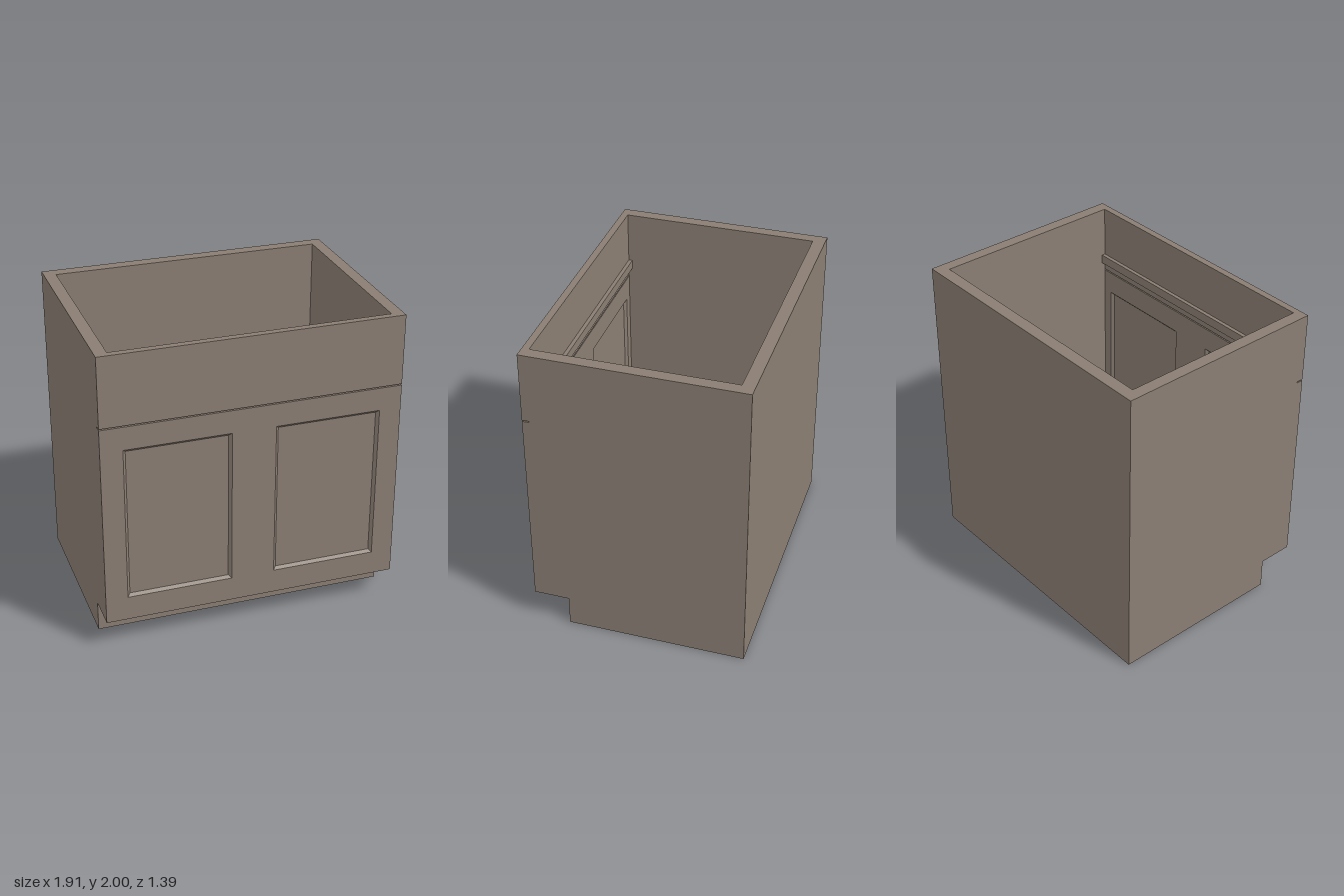
import * as THREE from 'three';

const W = 0.955, D = 0.695, H = 2;      // half width, half depth, height
const T = 0.077, FRONT = 0.65;          // wall thickness, back plane of the front
const KICK_Y = 0.2, KICK_Z = 0.465, FLOOR_Y = 0.28, GAP_Y = 1.54;

const material = new THREE.MeshStandardMaterial({ color: 0x8a7e73, flatShading: true });
const doubleSided = material.clone();
doubleSided.side = THREE.DoubleSide;

function add(parent, name, geometry, mat = material) {
  const mesh = new THREE.Mesh(geometry, mat);
  mesh.name = name;
  parent.add(mesh);
  return mesh;
}

// Box given by its minimum and maximum corners
function box(parent, name, [x0, y0, z0], [x1, y1, z1]) {
  const geometry = new THREE.BoxGeometry(x1 - x0, y1 - y0, z1 - z0);
  geometry.translate((x0 + x1) / 2, (y0 + y1) / 2, (z0 + z1) / 2);
  return add(parent, name, geometry);
}

function rectangle(PathType, x0, y0, x1, y1) {
  return new PathType([[x0, y0], [x1, y0], [x1, y1], [x0, y1]].map(p => new THREE.Vector2(...p)));
}

// Four sloping faces joining two rectangles of half sizes (w, h)
function bevelRing(a, b) {
  const corner = (r, i) => [
    r.w * [-1, 1, 1, -1][i % 4], r.h * [-1, -1, 1, 1][i % 4], r.z];
  const points = [];
  for (let i = 0; i < 4; i++) {
    const p = corner(a, i), q = corner(a, i + 1), s = corner(b, i + 1), t = corner(b, i);
    points.push(...p, ...q, ...s, ...p, ...s, ...t);
  }
  const geometry = new THREE.BufferGeometry();
  geometry.setAttribute('position', new THREE.Float32BufferAttribute(points, 3));
  geometry.computeVertexNormals();
  return geometry;
}

export function createModel() {
  const cabinet = new THREE.Group();
  cabinet.name = 'cabinet';

  // Side walls, notched at the toe kick
  const profile = new THREE.Shape([
    [-D, 0], [KICK_Z, 0], [KICK_Z, KICK_Y], [FRONT, KICK_Y], [FRONT, H], [-D, H],
  ].map(p => new THREE.Vector2(...p)));
  for (const [name, outer] of [['leftWall', W], ['rightWall', -W + T]]) {
    const wall = new THREE.ExtrudeGeometry(profile, { depth: T, bevelEnabled: false });
    wall.rotateY(-Math.PI / 2).translate(outer, 0, 0);
    add(cabinet, name, wall);
  }

  // Back, floor and recessed base
  const inner = W - T;
  box(cabinet, 'backWall', [-inner, 0, -D], [inner, H, -0.615]);
  box(cabinet, 'floor', [-inner, KICK_Y, -0.615], [inner, FLOOR_Y, FRONT]);
  box(cabinet, 'toeKickBase', [-inner, 0, -0.615], [inner, KICK_Y, KICK_Z]);

  // Plain upper front, separated from the doors by a narrow gap
  box(cabinet, 'upperFront', [-W, GAP_Y + 0.004, FRONT], [W, H, D]);
  box(cabinet, 'innerRail', [-inner, 1.6, 0.625], [inner, 1.66, FRONT]);

  // Door front with two openings
  const x0 = 0.14, x1 = 0.815, y0 = 0.36, y1 = 1.385;
  const front = rectangle(THREE.Shape, -W, KICK_Y, W, GAP_Y - 0.004);
  front.holes.push(rectangle(THREE.Path, x0, y0, x1, y1), rectangle(THREE.Path, -x1, y0, -x0, y1));
  const frame = new THREE.ExtrudeGeometry(front, { depth: D - FRONT, bevelEnabled: false });
  add(cabinet, 'doorFrame', frame.translate(0, 0, FRONT));

  // Recessed panels with bevelled borders on both faces
  const w = (x1 - x0) / 2, h = (y1 - y0) / 2, slope = 0.018, half = (D - FRONT) / 2;
  for (const [name, side] of [['leftDoor', 1], ['rightDoor', -1]]) {
    const door = new THREE.Group();
    door.name = name + 'Panel';
    door.position.set(side * (x0 + x1) / 2, (y0 + y1) / 2, (FRONT + D) / 2);
    add(door, 'panel', new THREE.BoxGeometry(2 * w, 2 * h, 0.009));
    for (const s of [1, -1]) {
      add(door, s > 0 ? 'frontBevel' : 'backBevel', bevelRing(
        { w, h, z: s * half }, { w: w - slope, h: h - slope, z: s * 0.0045 }), doubleSided);
    }
    cabinet.add(door);
  }
  return cabinet;
}
